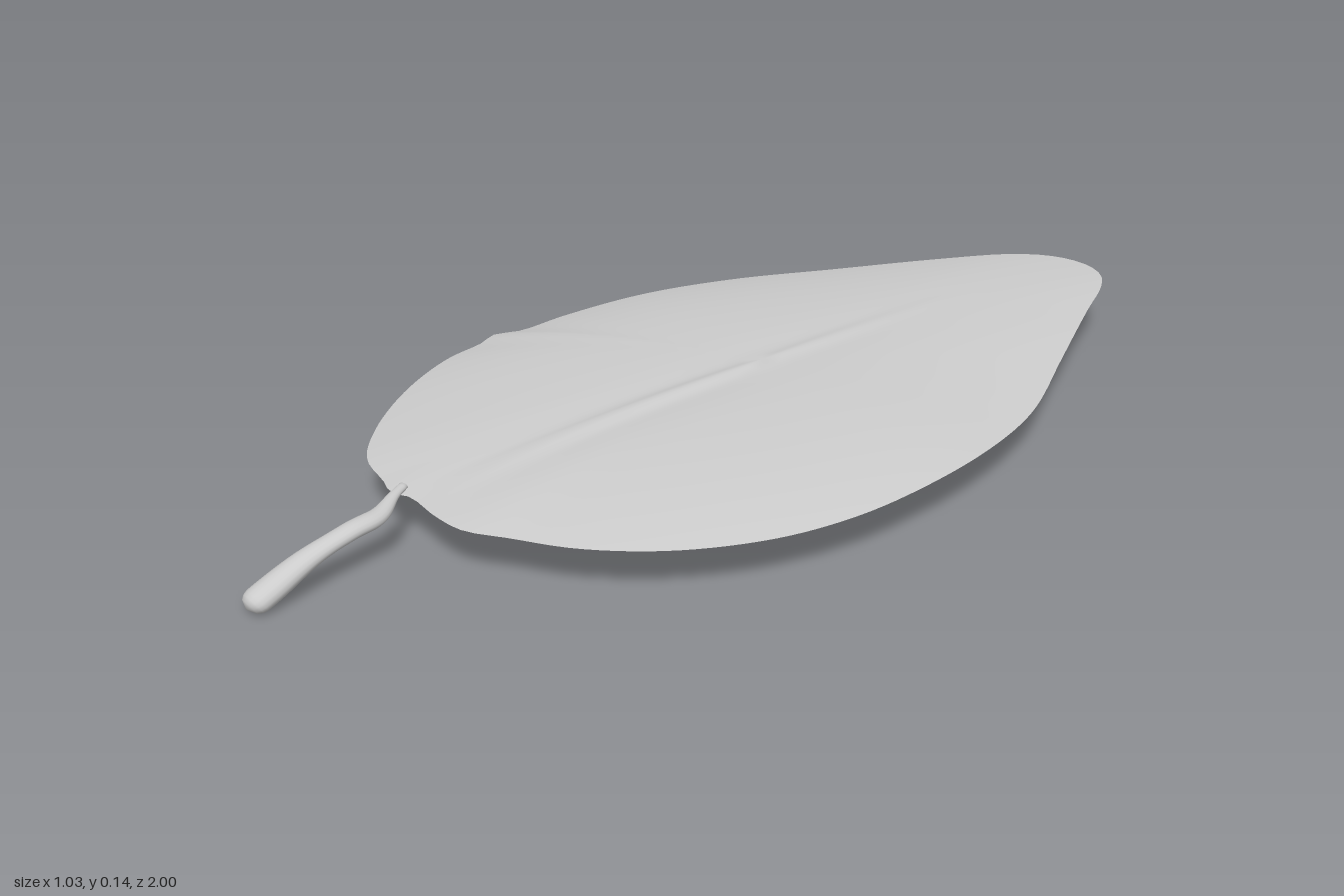
import * as THREE from 'three';
import { mergeVertices } from 'three/addons/utils/BufferGeometryUtils.js';

const material = new THREE.MeshStandardMaterial({ color: 0xcccccc });

// Leaf outline as x, z pairs, clockwise from the tip
const outline = new THREE.CatmullRomCurve3([
  [0.03, -1], [0.09, -0.98], [0.135, -0.93], [0.2, -0.81], [0.32, -0.59], [0.43, -0.38],
  [0.49, -0.18], [0.512, 0], [0.508, 0.15], [0.475, 0.3], [0.4, 0.45], [0.3, 0.56],
  [0.2, 0.625], [0.13, 0.668], [0.06, 0.675], [-0.03, 0.67], [-0.06, 0.685], [-0.11, 0.672],
  [-0.2, 0.65], [-0.29, 0.58], [-0.395, 0.45], [-0.475, 0.3], [-0.498, 0.21], [-0.52, 0.165],
  [-0.503, 0.11], [-0.508, 0], [-0.49, -0.2], [-0.43, -0.4], [-0.32, -0.6], [-0.2, -0.8],
  [-0.11, -0.93], [-0.04, -0.985],
].map(([x, z]) => new THREE.Vector3(x, 0, z)), true, 'centripetal');

const SEGMENTS = 160, RINGS = 28, CENTRE_Z = -0.1;

// Height of the rim: rises toward the tip, with a slight ripple
function rimHeight(x, z) {
  const tip = THREE.MathUtils.smoothstep(-z, 0.3, 1);
  return 0.103 + 0.024 * tip + 0.002 * Math.sin(9 * z + 5 * x);
}

function topHeight(x, z, t, rim) {
  const dome = rim + (0.147 - rim) * (1 - t ** 3);
  const fade = (1 - t ** 4) * THREE.MathUtils.smoothstep(z, -0.8, 0.3);
  const groove = -0.007 * Math.exp(-((x / 0.07) ** 2));
  const rib = 0.009 * Math.exp(-((x / 0.02) ** 2));
  return dome + fade * (groove + rib);
}

function bottomHeight(x, z, t, rim) {
  return rim - (rim - 0.076) * (1 - t ** 4);
}

// One face of the blade: rings shrinking from the outline to the centre
function bladeSurface(height, faceUp) {
  const edge = outline.getSpacedPoints(SEGMENTS);
  const positions = [0, height(0, CENTRE_Z, 0, rimHeight(0, CENTRE_Z)), CENTRE_Z];
  const index = [];
  const triangle = (a, b, c) => (faceUp ? index.push(a, b, c) : index.push(a, c, b));
  for (let i = 1; i <= RINGS; i++) {
    const t = Math.sin((i / RINGS) * Math.PI / 2);
    for (let k = 0; k < SEGMENTS; k++) {
      const x = edge[k].x * t;
      const z = CENTRE_Z + (edge[k].z - CENTRE_Z) * t;
      positions.push(x, height(x, z, t, rimHeight(edge[k].x, edge[k].z)), z);
      const next = (k + 1) % SEGMENTS;
      const c = 1 + (i - 1) * SEGMENTS + k, d = 1 + (i - 1) * SEGMENTS + next;
      if (i === 1) triangle(0, d, c);
      else {
        triangle(c - SEGMENTS, d - SEGMENTS, d);
        triangle(c - SEGMENTS, d, c);
      }
    }
  }
  const geometry = new THREE.BufferGeometry();
  geometry.setAttribute('position', new THREE.Float32BufferAttribute(positions, 3));
  geometry.setIndex(index);
  geometry.computeVertexNormals();
  return geometry;
}

// Stalk: a tube whose radius varies, closed by rounded ends
function stalkGeometry() {
  const path = new THREE.CatmullRomCurve3([
    [-0.065, 0.108, 0.655], [-0.045, 0.106, 0.69], [-0.015, 0.096, 0.74], [-0.004, 0.093, 0.8],
    [-0.002, 0.073, 0.88], [-0.005, 0.04, 0.95], [-0.006, 0.018, 0.997],
  ].map((p) => new THREE.Vector3(...p)));
  const steps = 48, sides = 16;
  const tube = new THREE.TubeGeometry(path, steps, 1, sides);
  const position = tube.attributes.position;
  const point = new THREE.Vector3();
  for (let i = 0; i <= steps; i++) {
    const t = i / steps;
    const centre = path.getPointAt(t);
    const body = 0.009 + 0.011 * THREE.MathUtils.smoothstep(t, 0.05, 0.35)
      + 0.008 * THREE.MathUtils.smoothstep(t, 0.5, 0.9);
    const end = Math.max(0, (t - 0.93) / 0.07);
    const radius = i === 0 ? 0 : body * Math.sqrt(Math.max(0, 1 - end * end));
    for (let j = 0; j <= sides; j++) {
      const v = i * (sides + 1) + j;
      point.fromBufferAttribute(position, v).sub(centre).multiplyScalar(radius);
      point.y *= 0.72;
      point.add(centre);
      position.setXYZ(v, point.x, point.y, point.z);
    }
  }
  tube.deleteAttribute('normal');
  tube.deleteAttribute('uv');
  const geometry = mergeVertices(tube, 1e-5);
  geometry.computeVertexNormals();
  return geometry;
}

export function createModel() {
  const leaf = new THREE.Group();
  leaf.name = 'leaf';
  const add = (name, geometry) => {
    const mesh = new THREE.Mesh(geometry, material);
    mesh.name = name;
    leaf.add(mesh);
  };
  add('bladeTop', bladeSurface(topHeight, true));
  add('bladeUnderside', bladeSurface(bottomHeight, false));
  add('stalk', stalkGeometry());
  return leaf;
}
